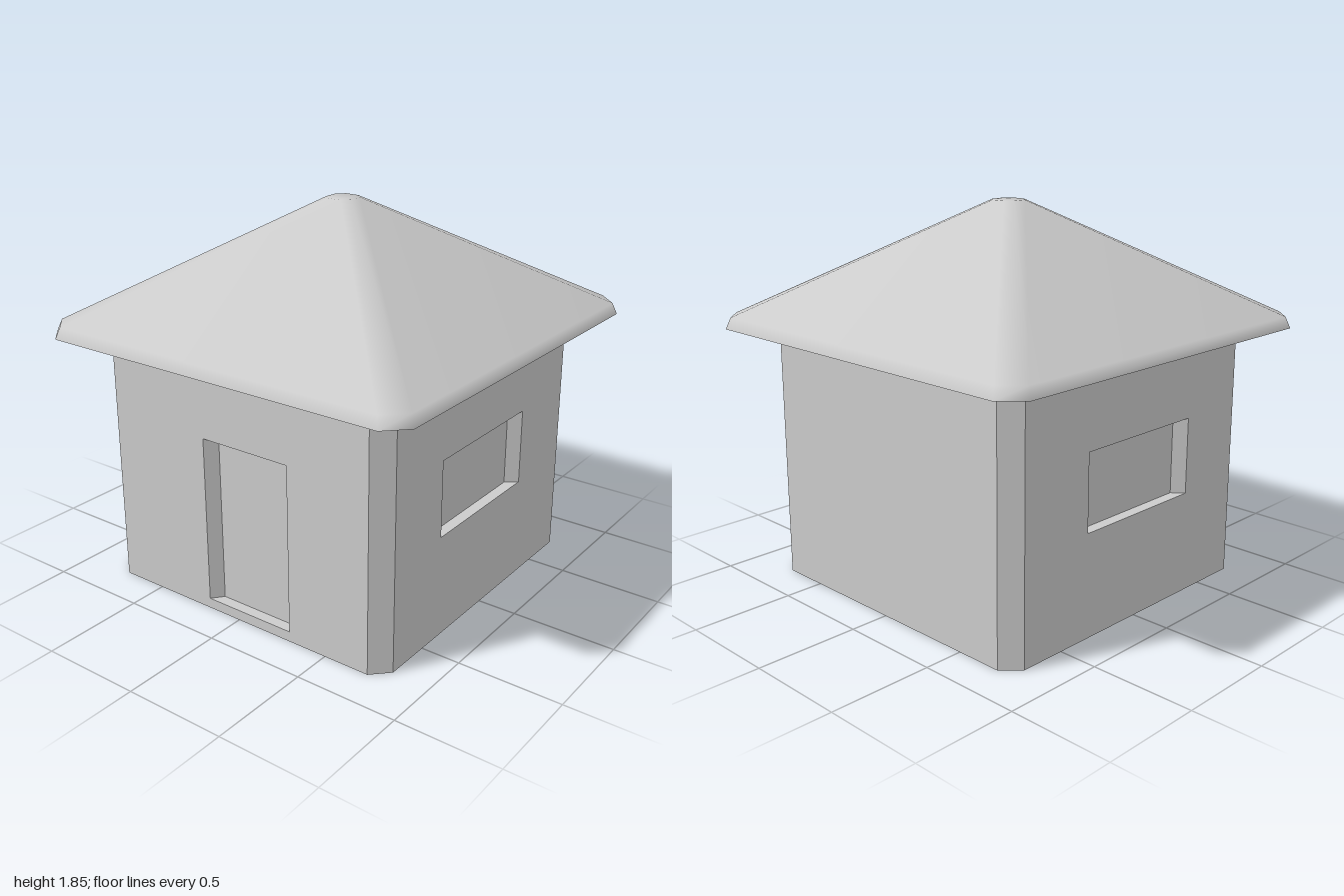
import * as THREE from 'three';

const material = new THREE.MeshStandardMaterial({ color: 0xcccccc });
const HALF = 0.81, FLAT = 0.73, WALL_TOP = 1.245;
const DEPTH = 0.055, TAPER = 0.045;

function addMesh(parent, geometry, name) {
  const mesh = new THREE.Mesh(geometry, material);
  mesh.name = name;
  parent.add(mesh);
  return mesh;
}

// Square with cut corners, counter-clockwise
function octagon(half, flat) {
  return [[half, -flat], [half, flat], [flat, half], [-flat, half],
    [-half, flat], [-half, -flat], [-flat, -half], [flat, -half]]
    .map(([x, y]) => new THREE.Vector2(x, y));
}

function rectangle(Type, x0, x1, y0, y1) {
  return new Type([[x0, y0], [x1, y0], [x1, y1], [x0, y1]]
    .map(([x, y]) => new THREE.Vector2(x, y)));
}

// Shallow niche whose sides narrow toward its back panel
function nicheGeometry({ x0, x1, y0, y1 }) {
  const outer = [[x0, y0, 0], [x1, y0, 0], [x1, y1, 0], [x0, y1, 0]];
  const inner = outer.map(([x, y]) => [x === x0 ? x + TAPER : x - TAPER, y, -DEPTH]);
  const points = [];
  const quad = (a, b, c, d) => points.push(...a, ...b, ...c, ...a, ...c, ...d);
  for (let i = 0; i < 4; i++) {
    const j = (i + 1) % 4;
    quad(outer[i], outer[j], inner[j], inner[i]);
  }
  quad(...inner);
  const geometry = new THREE.BufferGeometry();
  geometry.setAttribute('position', new THREE.Float32BufferAttribute(points, 3));
  geometry.computeVertexNormals();
  return geometry;
}

// One side of the house, with the chamfered corner at its right end
function buildWall(name, angle, opening) {
  const wall = new THREE.Group();
  wall.name = name;
  const shape = rectangle(THREE.Shape, -FLAT, FLAT, 0, WALL_TOP);
  if (opening) {
    const { x0, x1, y0, y1 } = opening;
    shape.holes.push(rectangle(THREE.Path, x0, x1, y0, y1));
    addMesh(wall, nicheGeometry(opening), opening.name).position.z = HALF;
  }
  addMesh(wall, new THREE.ShapeGeometry(shape), 'wallPanel').position.z = HALF;

  const width = (HALF - FLAT) * Math.SQRT2, mid = (HALF + FLAT) / 2;
  const corner = addMesh(wall, new THREE.PlaneGeometry(width, WALL_TOP), 'corner');
  corner.position.set(mid, WALL_TOP / 2, mid);
  corner.rotation.y = Math.PI / 4;
  wall.rotation.y = angle;
  return wall;
}

// Smooth hipped shell lofted through cut-corner squares
function roofGeometry() {
  const levels = [[1.245, 1, 0.9], [1.3, 0.98, 0.885], [1.85, 0.07, 0.035]];
  const points = [], index = [];
  for (const [y, half, flat] of levels) {
    for (const p of octagon(half, flat)) points.push(p.x, y, -p.y);
  }
  for (let r = 0; r < levels.length - 1; r++) {
    for (let i = 0; i < 8; i++) {
      const a = r * 8 + i, b = r * 8 + (i + 1) % 8;
      index.push(a, b, b + 8, a, b + 8, a + 8);
    }
  }
  // Small cap on the peak
  const top = (levels.length - 1) * 8;
  for (let i = 1; i < 7; i++) index.push(top, top + i, top + i + 1);
  const geometry = new THREE.BufferGeometry();
  geometry.setAttribute('position', new THREE.Float32BufferAttribute(points, 3));
  geometry.setIndex(index);
  geometry.computeVertexNormals();
  return geometry;
}

export function createModel() {
  const model = new THREE.Group();
  model.name = 'house';

  // Walls: windows front and back, door on one side
  const sill = { y0: 0.5, y1: 0.87 };
  model.add(
    buildWall('frontWall', 0, { name: 'frontWindow', x0: -0.37, x1: 0.335, ...sill }),
    buildWall('leftWall', Math.PI / 2),
    buildWall('backWall', Math.PI, { name: 'backWindow', x0: -0.335, x1: 0.37, ...sill }),
    buildWall('rightWall', -Math.PI / 2, { name: 'door', x0: -0.18, x1: 0.3, y0: 0.05, y1: 0.87 }),
  );

  // Floor and eaves face down
  const floor = addMesh(model, new THREE.ShapeGeometry(new THREE.Shape(octagon(HALF, FLAT))), 'floor');
  floor.rotation.x = Math.PI / 2;
  const eaves = addMesh(model, new THREE.ShapeGeometry(new THREE.Shape(octagon(1, 0.9))), 'eaves');
  eaves.rotation.x = Math.PI / 2;
  eaves.position.y = WALL_TOP;

  addMesh(model, roofGeometry(), 'roof');
  return model;
}
